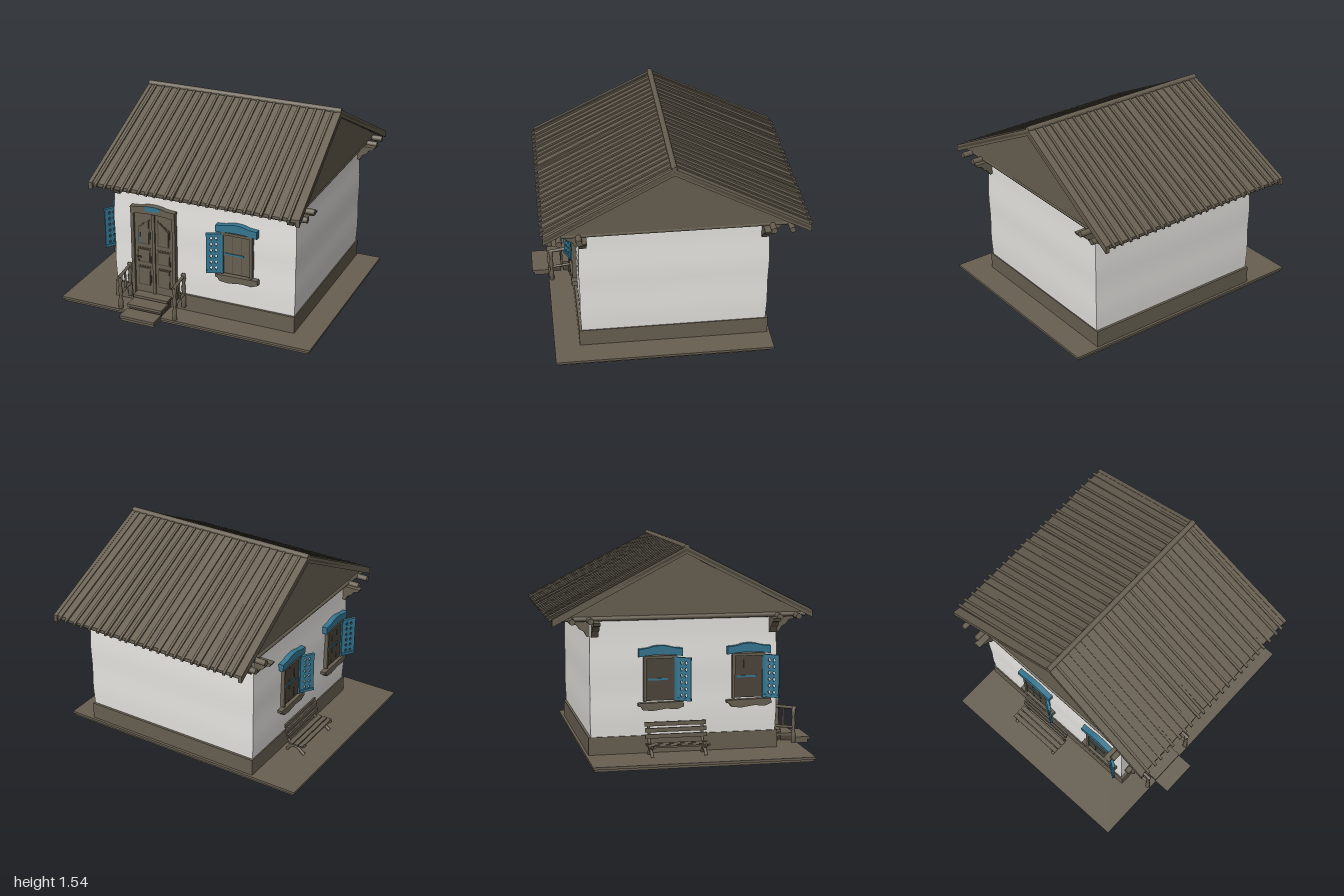
import * as THREE from 'three';

const mat = (name, color, side = THREE.FrontSide) => {
  const m = new THREE.MeshStandardMaterial({ color, side });
  m.name = name;
  return m;
};

export function createModel() {
  const wood = mat('brown wood', 0x675f51);
  const darkWood = mat('dark wood', 0x4c453a);
  const blue = mat('blue paint', 0x347691);
  const white = mat('white plaster', 0xebe9e5);
  const house = new THREE.Group();
  house.name = 'cottage';

  let seed = 7;
  const rand = () => ((seed = (seed * 16807) % 2147483647) / 2147483647);
  const lerp = THREE.MathUtils.lerp;

  const add = (parent, name, geo, m, x = 0, y = 0, z = 0) => {
    const mesh = new THREE.Mesh(geo, m);
    mesh.name = name;
    mesh.position.set(x, y, z);
    parent.add(mesh);
    return mesh;
  };
  // box given by its minimum and maximum along each axis
  const box = (parent, name, m, x0, x1, y0, y1, z0, z1) =>
    add(parent, name, new THREE.BoxGeometry(x1 - x0, y1 - y0, z1 - z0), m,
      (x0 + x1) / 2, (y0 + y1) / 2, (z0 + z1) / 2);
  // round bar between two points
  const bar = (parent, name, m, a, b, r) => {
    const p = new THREE.Vector3(...a), q = new THREE.Vector3(...b);
    const mesh = add(parent, name, new THREE.CylinderGeometry(r, r, p.distanceTo(q), 10), m);
    mesh.position.copy(p).lerp(q, 0.5);
    mesh.quaternion.setFromUnitVectors(new THREE.Vector3(0, 1, 0), q.sub(p).normalize());
    return mesh;
  };
  const polygon = pts => new THREE.Shape(pts.map(p => new THREE.Vector2(...p)));
  const extrude = (shape, depth) =>
    new THREE.ExtrudeGeometry(shape, { depth, bevelEnabled: false, curveSegments: 8 });
  const group = (parent, name, x = 0, y = 0, z = 0, ry = 0) => {
    const g = new THREE.Group();
    g.name = name;
    g.position.set(x, y, z);
    g.rotation.y = ry;
    parent.add(g);
    return g;
  };

  // ground slab and plinth
  box(house, 'groundSlab', wood, -1, 1, 0.018, 0.036, -0.73, 0.87);
  box(house, 'groundSlabUnderside', wood, -0.985, 0.985, 0, 0.018, -0.72, 0.86);
  box(house, 'plinth', wood, -0.635, 0.81, 0.03, 0.165, -0.71, 0.685);

  // plaster walls, bulging slightly like hand-made masonry
  const wallGeo = new THREE.BoxGeometry(1.43, 0.9, 1.36, 12, 12, 12);
  const wp = wallGeo.attributes.position;
  for (let i = 0; i < wp.count; i++) {
    const x = wp.getX(i), y = wp.getY(i), z = wp.getZ(i);
    const k = 1 + 0.009 * Math.cos(y * 3.4) + 0.003 * Math.sin(y * 17);
    wp.setXYZ(i, x * k, y, z * k);
  }
  wallGeo.computeVertexNormals();
  add(house, 'walls', wallGeo, white, 0.088, 0.59, -0.012);

  // roof: each slope is built from strips bent onto a slightly flared plane
  const slope = (name, ry, reach) => {
    const g = group(house, name, 0.11, 0, 0, ry);
    const strip = (part, m, u0, u1, w1, t0, t1, skew = 0) => {
      const geo = new THREE.BoxGeometry(1, 1, 1), p = geo.attributes.position;
      for (let i = 0; i < p.count; i++) {
        const w = (p.getZ(i) + 0.5) * w1;
        const u = lerp(u0, u1, p.getX(i) + 0.5) + skew * w - 0.5;
        p.setXYZ(i, u * lerp(1.54, 1.62, w), 1.51 - 0.475 * w + lerp(t0, t1, p.getY(i) + 0.5), 0.93 * w);
      }
      geo.computeVertexNormals();
      add(g, part, geo, m);
    };
    strip('roofDeck', darkWood, 0, 1, reach - 0.01, -0.022, -0.002);
    const n = 24;
    for (let i = 0; i < n; i++) {
      const lift = rand() * 0.004;
      strip('roofBoard', wood, i / n + 0.003, (i + 1) / n - 0.003, reach - rand() * 0.01, -0.01, 0.006 + lift, (rand() - 0.5) * 0.003);
      if (i) strip('roofBatten', wood, i / n - 0.006, i / n + 0.006, reach + 0.02, 0, 0.018, (rand() - 0.5) * 0.012);
    }
    // raised edge boards along the gable ends
    for (const u of [0, 0.982]) strip('rakeBoard', wood, u, u + 0.018, reach, -0.04, 0.013);
  };
  slope('frontRoof', 0, 0.99);
  slope('backRoof', Math.PI, 1.04);
  bar(house, 'ridgeLog', wood, [-0.66, 1.517, 0], [0.88, 1.517, 0], 0.021);

  // gables, ceiling and the logs carrying the eaves
  const gable = polygon([[-0.86, 1.035], [0.86, 1.035], [0, 1.475]]);
  add(house, 'rightGable', extrude(gable, 0.02), wood, 0.845).rotation.y = Math.PI / 2;
  add(house, 'leftGable', extrude(gable, 0.02), wood, -0.645).rotation.y = Math.PI / 2;
  box(house, 'ceiling', wood, -0.64, 0.86, 1.028, 1.04, -0.84, 0.84);
  for (const z of [-0.83, -0.7, 0.67, 0.81])
    bar(house, 'eaveLog', wood, [-0.735, 1.012, z], [0.94, 1.012, z], 0.022);
  for (const x of [-0.64, 0.845])
    bar(house, 'tieLog', wood, [x, 1.02, -0.9], [x, 1.02, 0.88], 0.018);

  // carved corner brackets, one along each wall direction
  const scroll = polygon([[0, 0], [0, -0.11], [0.022, -0.115], [0.045, -0.075], [0.075, -0.06],
    [0.095, -0.03], [0.13, -0.022], [0.14, 0]]);
  for (const [x, sx] of [[-0.625, -1], [0.8, 1]])
    for (const [z, sz] of [[-0.69, -1], [0.67, 1]]) {
      const a = group(house, 'sideBracket', x, 1.005, z - sz * 0.03, sx > 0 ? 0 : Math.PI);
      add(a, 'bracketScroll', extrude(scroll, 0.05), wood, 0, 0, -0.025);
      const b = group(house, 'eaveBracket', x - sx * 0.03, 1.005, z, sz > 0 ? -Math.PI / 2 : Math.PI / 2);
      add(b, 'bracketScroll', extrude(scroll, 0.05), wood, 0, 0, -0.025);
    }

  // arched board used over windows and the door
  const arch = (w, y0, y1, rise) => {
    const s = new THREE.Shape();
    s.moveTo(-w, y0);
    s.quadraticCurveTo(0, y0 + rise, w, y0);
    s.lineTo(w, y1 - rise * 0.5);
    s.quadraticCurveTo(w * 0.55, y1 - rise * 0.4, w * 0.4, y1);
    s.quadraticCurveTo(0, y1 + rise * 0.5, -w * 0.4, y1);
    s.quadraticCurveTo(-w * 0.55, y1 - rise * 0.4, -w, y1 - rise * 0.5);
    s.closePath();
    return s;
  };

  // openwork shutter, hinged at its x = 0 edge
  const shutterShape = polygon([[0, 0.42], [0.11, 0.42], [0.11, 0.73], [0, 0.73]]);
  for (let row = 0; row < 6; row++)
    for (const cx of [0.037, 0.073]) {
      const cy = 0.457 + row * 0.047;
      shutterShape.holes.push(polygon([[cx, cy - 0.016], [cx - 0.011, cy], [cx, cy + 0.016], [cx + 0.011, cy]]));
    }
  const shutterGeo = extrude(shutterShape, 0.012);

  // window facing local +z; the open shutter hangs on the given side
  const windowUnit = (name, x, z, ry, side, swing, panelMat) => {
    const g = group(house, name, x, 0, z, ry);
    box(g, 'panel', panelMat, -0.105, 0.105, 0.42, 0.73, -0.03, 0.012);
    for (const s of [-1, 1]) box(g, 'jamb', side === s ? blue : wood, s * 0.112 - 0.01, s * 0.112 + 0.01, 0.415, 0.735, -0.03, 0.022);
    box(g, 'headRail', wood, -0.12, 0.12, 0.725, 0.745, -0.03, 0.022);
    box(g, 'crossBar', blue, -0.09, 0.055, 0.568, 0.582, 0, 0.018);
    for (const px of [-0.035, 0.035]) box(g, 'boardJoint', darkWood, px - 0.002, px + 0.002, 0.425, 0.725, 0, 0.014);
    add(g, 'archedHeader', extrude(arch(0.16, 0.74, 0.812, 0.03), 0.06), blue, 0, 0, -0.03);
    add(g, 'sill', extrude(polygon([[-0.165, 0.405], [0.165, 0.41], [0.17, 0.375], [0.12, 0.355], [0.04, 0.362],
      [-0.06, 0.348], [-0.13, 0.356], [-0.145, 0.38], [-0.165, 0.385]].reverse()), 0.06), wood, 0, 0, -0.03);
    const hinge = group(g, 'shutter', side * 0.12, 0, 0.015, side > 0 ? -swing : Math.PI + swing);
    add(hinge, 'shutterLeaf', shutterGeo, blue, 0, 0, -0.006);
    box(hinge, 'shutterTopRail', blue, 0, 0.112, 0.712, 0.732, -0.011, 0.011);
    box(hinge, 'shutterBottomRail', blue, 0, 0.112, 0.418, 0.438, -0.011, 0.011);
  };
  windowUnit('frontWindow', 0.365, 0.685, 0, -1, 0.4, wood);
  windowUnit('leftRearWindow', -0.64, -0.19, -Math.PI / 2, 1, 0.6, darkWood);
  windowUnit('leftFrontWindow', -0.64, 0.46, -Math.PI / 2, 1, 0.6, darkWood);

  // double door with framed panels
  const door = group(house, 'door', -0.3, 0, 0.675);
  box(door, 'doorLeaves', wood, -0.165, 0.165, 0.12, 0.77, -0.03, 0.015);
  for (const s of [-1, 1]) {
    box(door, 'doorJamb', wood, s * 0.168 - 0.012, s * 0.168 + 0.012, 0.05, 0.78, -0.03, 0.035);
    for (const [y0, y1] of [[0.18, 0.34], [0.37, 0.49]]) {
      box(door, 'panelRecess', darkWood, s * 0.08 - 0.053, s * 0.08 + 0.053, y0, y1, 0.01, 0.018);
      box(door, 'raisedPanel', wood, s * 0.08 - 0.043, s * 0.08 + 0.043, y0 + 0.012, y1 - 0.012, 0.01, 0.024);
    }
    // upper panels with slanting tops
    const top = inset => polygon([[0.03 + inset, 0.52 + inset], [0.13 - inset, 0.52 + inset], [0.13 - inset, 0.66 - inset], [0.03 + inset, 0.73 - inset]]
      .map(([px, py]) => [(px - 0.08) * s, py]));
    add(door, 'upperRecess', extrude(top(0), 0.008), darkWood, s * 0.08, 0, 0.01);
    add(door, 'upperPanel', extrude(top(0.011), 0.014), wood, s * 0.08, 0, 0.01);
  }
  box(door, 'centreStrip', wood, -0.011, 0.011, 0.12, 0.77, 0, 0.027);
  box(door, 'blueInset', blue, -0.115, -0.108, 0.53, 0.62, 0.02, 0.026);
  box(door, 'handlePlate', darkWood, -0.138, -0.126, 0.37, 0.46, 0.012, 0.022);
  bar(door, 'handle', darkWood, [-0.132, 0.42, 0.035], [-0.1, 0.42, 0.035], 0.006);
  add(door, 'doorHeader', extrude(arch(0.18, 0.765, 0.835, 0.03), 0.07), wood, 0, 0, -0.03);
  add(door, 'paintedHeaderPatch', extrude(polygon([[-0.06, 0.8], [0.05, 0.805], [0.075, 0.83], [0.03, 0.843], [-0.05, 0.84]]), 0.008), blue, 0, 0, 0.036);

  // entrance steps
  const steps = group(house, 'steps');
  [[0.77, 0.115], [0.87, 0.085], [0.995, 0.05]].forEach(([z, y], i) => {
    box(steps, 'tread', wood, -0.445, -0.165, y - 0.012, y + 0.008, z - 0.13, z);
    if (i < 2) box(steps, 'riser', darkWood, -0.435, -0.175, 0.03, y - 0.01, z - 0.1, z - 0.02);
  });
  box(steps, 'lowestStepBlock', wood, -0.44, -0.17, 0.012, 0.04, 0.86, 0.98);

  // handrails with turned posts
  const postGeo = new THREE.LatheGeometry([[0, 0], [0.018, 0], [0.018, 0.07], [0.011, 0.1], [0.016, 0.15],
    [0.011, 0.2], [0.017, 0.23], [0.017, 0.27], [0, 0.28]].map(p => new THREE.Vector2(...p)), 10);
  for (const x of [-0.51, -0.065]) {
    const r = group(house, 'handrail', x);
    add(r, 'frontPost', postGeo, wood, 0, 0.03, 0.845);
    add(r, 'wallPost', postGeo, wood, 0, 0.065, 0.69);
    bar(r, 'topRail', wood, [0, 0.295, 0.865], [0, 0.32, 0.68], 0.012);
    bar(r, 'lowerRail', wood, [0, 0.15, 0.85], [0, 0.17, 0.68], 0.01);
    bar(r, 'baluster', wood, [0, 0.155, 0.765], [0, 0.305, 0.765], 0.008);
  }

  // bench against the left wall
  const bench = group(house, 'bench');
  for (const z of [-0.28, 0.11]) {
    const curve = (name, pts, r) => add(bench, name, new THREE.TubeGeometry(
      new THREE.CatmullRomCurve3(pts.map(([x, y]) => new THREE.Vector3(x, y, z))), 12, r, 8), wood);
    curve('frontLeg', [[-0.825, 0.04], [-0.8, 0.06], [-0.77, 0.085], [-0.73, 0.09]], 0.012);
    curve('backLeg', [[-0.68, 0.04], [-0.695, 0.065], [-0.72, 0.088], [-0.76, 0.09]], 0.012);
    curve('backSupport', [[-0.72, 0.1], [-0.69, 0.13], [-0.68, 0.19], [-0.665, 0.255]], 0.011);
    curve('armScroll', [[-0.76, 0.1], [-0.81, 0.105], [-0.83, 0.12], [-0.835, 0.135]], 0.01);
  }
  for (let i = 0; i < 3; i++) {
    box(bench, 'seatSlat', wood, -0.825 + i * 0.042, -0.79 + i * 0.042, 0.112, 0.124, -0.31, 0.14);
    const x = -0.697 + i * 0.012, y = 0.155 + i * 0.042;
    box(bench, 'backSlat', wood, x - 0.006, x + 0.006, y, y + 0.03, -0.31, 0.14);
  }

  return house;
}
